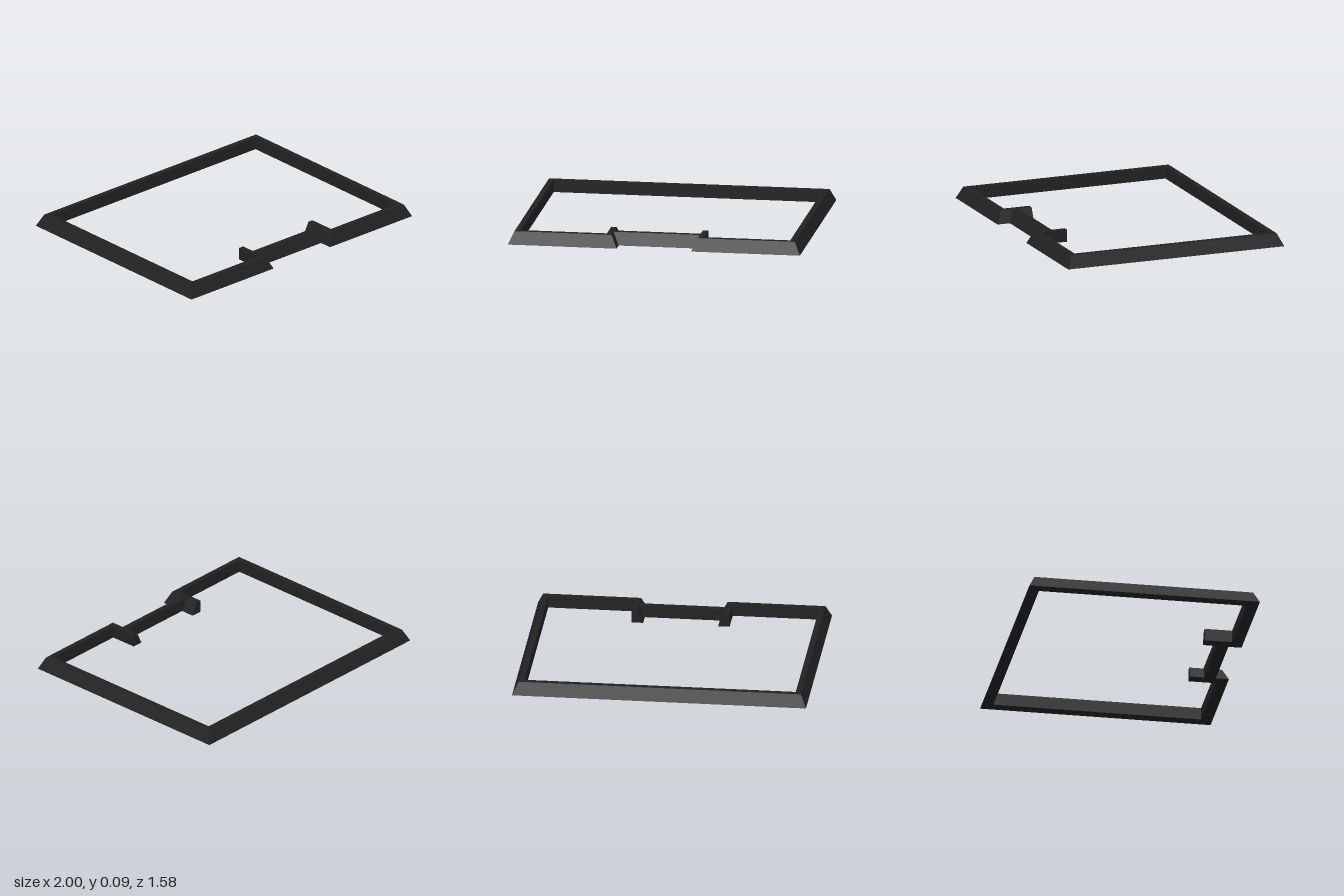
import * as THREE from 'three';

// Wall cross-section: [inset from outer line, height]; sloped outside, vertical inside
const SECTION = [[0, 0], [0.04, 0.085], [0.078, 0.085], [0.078, 0]];

// Sweeps the section along an open [x, z] path with mitred corners and capped ends
function sweepWall(path) {
  const normals = path.slice(1).map(([x, z], i) => {
    const dx = x - path[i][0], dz = z - path[i][1], len = Math.hypot(dx, dz);
    return [dz / len, -dx / len];
  });
  const rings = path.map(([x, z], i) => {
    const a = normals[Math.max(i - 1, 0)];
    const b = normals[Math.min(i, normals.length - 1)];
    const k = 1 / (1 + a[0] * b[0] + a[1] * b[1]);
    const mx = (a[0] + b[0]) * k, mz = (a[1] + b[1]) * k;
    return SECTION.map(([inset, y]) => [x + mx * inset, y, z + mz * inset]);
  });

  const positions = [];
  const quad = (a, b, c, d) => positions.push(...a, ...b, ...c, ...a, ...c, ...d);
  for (let i = 0; i < rings.length - 1; i++) {
    for (let j = 0; j < 4; j++) {
      const k = (j + 1) % 4;
      quad(rings[i][j], rings[i + 1][j], rings[i + 1][k], rings[i][k]);
    }
  }
  quad(...rings[0]);
  quad(...[...rings[rings.length - 1]].reverse());

  const geometry = new THREE.BufferGeometry();
  geometry.setAttribute('position', new THREE.Float32BufferAttribute(positions, 3));
  geometry.computeVertexNormals();
  return geometry;
}

export function createModel() {
  const group = new THREE.Group();
  const black = new THREE.MeshStandardMaterial({ color: 0x222222 });
  black.name = 'charcoal black';

  const add = (name, path) => {
    const mesh = new THREE.Mesh(sweepWall(path), black);
    mesh.name = name;
    group.add(mesh);
  };

  // Rectangular kerb, turning inward on both sides of the front opening
  const half = [[0.255, 0.525], [0.255, 0.79], [1, 0.79], [1, -0.79]];
  const mirrored = half.map(([x, z]) => [-x, z]).reverse();
  add('perimeterWall', [...half, ...mirrored]);

  // Recessed piece closing the opening between the two returns
  add('recessedFrontWall', [[-0.293, 0.7], [0.293, 0.7]]);

  return group;
}
